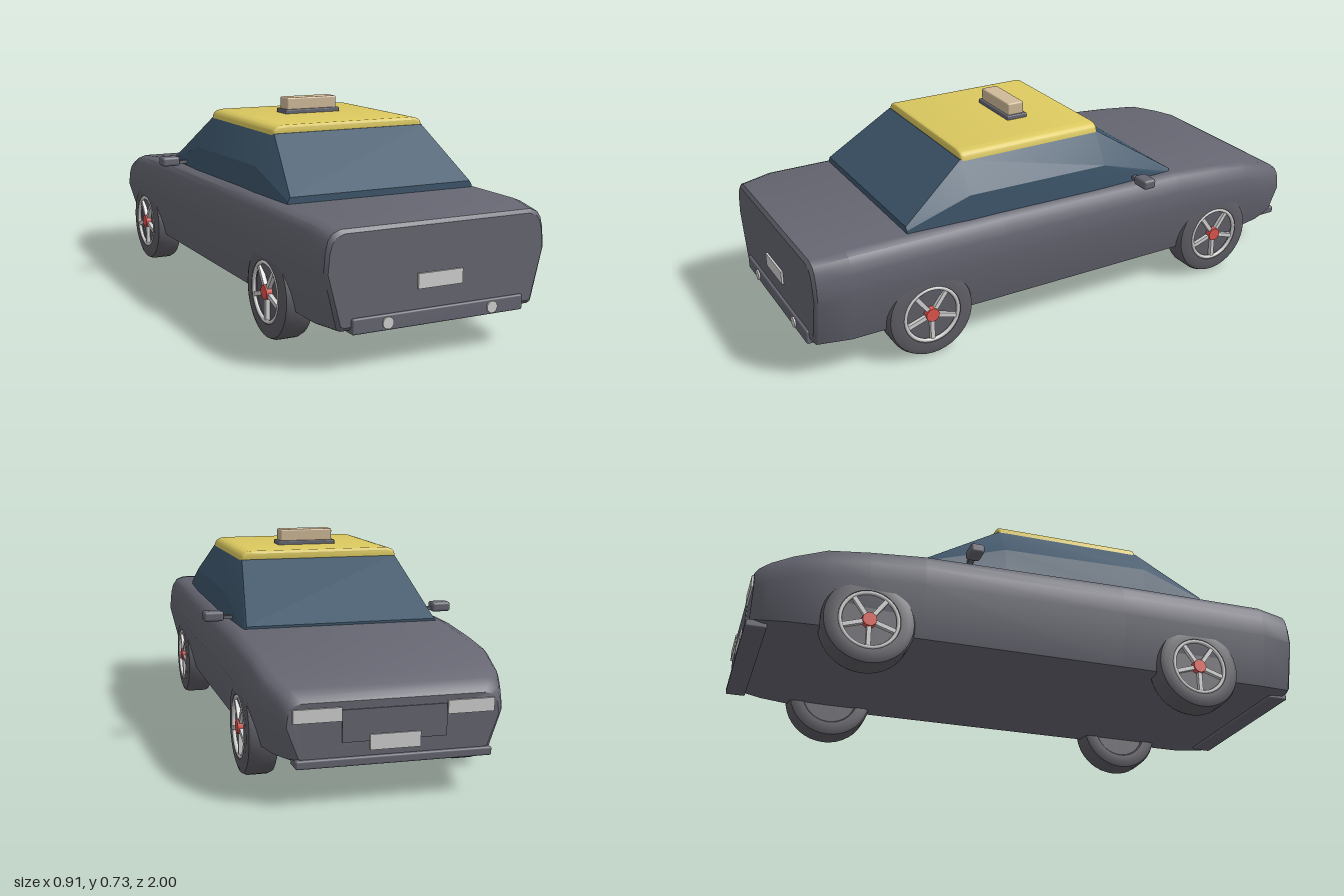
import * as THREE from 'three';
import { toCreasedNormals } from 'three/addons/utils/BufferGeometryUtils.js';
import { RoundedBoxGeometry } from 'three/addons/geometries/RoundedBoxGeometry.js';

function mat(name, color) {
  const m = new THREE.MeshStandardMaterial({ color });
  m.name = name;
  return m;
}

// Skin over closed rings running from +z to -z; each ring is given as its right half, bottom to top
function loft(sections, crease) {
  const pos = [], idx = [];
  const n = sections[0].half.length * 2;
  for (const { z, half } of sections) {
    for (const [x, y] of half) pos.push(x, y, z);
    for (const [x, y] of [...half].reverse()) pos.push(-x, y, z);
  }
  const last = (sections.length - 1) * n;
  for (let i = 0; i < sections.length - 1; i++) {
    for (let j = 0; j < n; j++) {
      const a = i * n + j, b = i * n + (j + 1) % n, d = a + n, c = b + n;
      idx.push(a, d, b, b, d, c);
    }
  }
  for (let j = 1; j < n - 1; j++) {
    idx.push(0, j, j + 1, last, last + j + 1, last + j);
  }
  const g = new THREE.BufferGeometry();
  g.setAttribute('position', new THREE.Float32BufferAttribute(pos, 3));
  g.setIndex(idx);
  return toCreasedNormals(g, crease);
}

export function createModel() {
  const car = new THREE.Group();
  car.name = 'taxi';
  const paint = mat('grey paint', 0x666672);
  const rubber = mat('tyre rubber', 0x5e5e65);
  const glass = mat('blue glass', 0x3d566b);
  const yellow = mat('yellow roof', 0xdcc95f);
  const tan = mat('tan sign', 0xd0ba98);
  const silver = mat('light grey', 0xd2d2d2);
  const red = mat('red hub', 0xe0544c);

  function add(name, geometry, material, x = 0, y = 0, z = 0, parent = car) {
    const m = new THREE.Mesh(geometry, material);
    m.name = name;
    m.position.set(x, y, z);
    parent.add(m);
    return m;
  }
  const rbox = (w, h, d, r) => new RoundedBoxGeometry(w, h, d, 3, r);
  const box = (w, h, d) => new THREE.BoxGeometry(w, h, d);

  // Body: [z, bottom, top, half width]
  const outline = [[0.86, 0], [0.89, 0.02], [1, 0.59], [0.985, 0.8], [0.965, 0.9], [0.93, 0.965], [0.86, 1]];
  const stations = [
    [0.985, 0.14, 0.425, 0.385], [0.975, 0.128, 0.437, 0.395], [0.86, 0.122, 0.45, 0.415],
    [0.3, 0.122, 0.45, 0.417], [-0.43, 0.122, 0.44, 0.417], [-0.62, 0.122, 0.425, 0.414],
    [-0.76, 0.125, 0.41, 0.408], [-0.87, 0.13, 0.375, 0.391], [-0.94, 0.135, 0.35, 0.365],
    [-0.975, 0.14, 0.33, 0.348], [-0.987, 0.145, 0.315, 0.335],
  ];
  const bodySections = stations.map(([z, lo, hi, w]) => ({
    z, half: outline.map(([f, t]) => [f * w, lo + t * (hi - lo)]),
  }));
  add('body', loft(bodySections, 0.6), paint);

  // Glass cabin
  add('cabinGlass', loft([
    { z: 0.64, half: [[0.35, 0.43], [0.348, 0.46], [0.34, 0.472]] },
    { z: 0.41, half: [[0.36, 0.43], [0.36, 0.54], [0.288, 0.642]] },
    { z: -0.13, half: [[0.36, 0.43], [0.355, 0.53], [0.288, 0.642]] },
    { z: -0.43, half: [[0.345, 0.425], [0.343, 0.438], [0.335, 0.448]] },
  ], 0.4), glass);

  // Roof panel with rounded shoulders
  const roof = new THREE.Shape();
  roof.moveTo(-0.282, 0.642);
  roof.lineTo(0.282, 0.642);
  roof.quadraticCurveTo(0.28, 0.66, 0.245, 0.66);
  roof.lineTo(-0.245, 0.66);
  roof.quadraticCurveTo(-0.28, 0.66, -0.282, 0.642);
  const roofGeo = new THREE.ExtrudeGeometry(roof, {
    depth: 0.525, bevelEnabled: true, bevelSize: 0.009, bevelThickness: 0.01, bevelSegments: 3, curveSegments: 8,
  });
  add('roof', toCreasedNormals(roofGeo, 0.7), yellow, 0, 0, -0.127);

  // Roof sign
  add('signBase', rbox(0.22, 0.02, 0.08, 0.004), paint, 0, 0.674, 0.087);
  add('sign', rbox(0.2, 0.048, 0.064, 0.006), tan, 0, 0.702, 0.087);

  // Exhaust end
  add('rearBumper', rbox(0.615, 0.05, 0.075, 0.006), paint, 0, 0.141, 0.957);
  add('rearPlate', box(0.16, 0.048, 0.008), silver, 0, 0.254, 0.988);

  // Headlamp end
  add('frontBumper', rbox(0.62, 0.027, 0.07, 0.006), paint, 0, 0.132, -0.964);
  add('grille', box(0.33, 0.1, 0.006), paint, 0, 0.24, -0.988);
  add('frontPlate', box(0.16, 0.048, 0.008), silver, 0, 0.187, -0.992);

  // Wheel: tyre with a recessed face, rim ring, five spokes and hub, facing +x
  const tyreGeo = toCreasedNormals(new THREE.LatheGeometry([
    [0, -0.045], [0.1, -0.045], [0.105, -0.052], [0.135, -0.052], [0.151, -0.046], [0.157, -0.032],
    [0.157, 0.032], [0.151, 0.046], [0.135, 0.052], [0.105, 0.052], [0.098, 0.036], [0, 0.036],
  ].map(([r, h]) => new THREE.Vector2(r, h)), 40), 0.6);
  const rimGeo = new THREE.TorusGeometry(0.098, 0.007, 8, 40).rotateX(Math.PI / 2);
  const spokeGeo = box(0.085, 0.014, 0.015).translate(0.055, 0, 0);
  const hubGeo = new THREE.CylinderGeometry(0.024, 0.026, 0.024, 16);
  function addWheel(name, side, z) {
    const wheel = new THREE.Group();
    wheel.name = name;
    wheel.position.set(side * 0.353, 0.157, z);
    wheel.rotation.y = side > 0 ? 0 : Math.PI;
    const spin = new THREE.Group();
    spin.name = 'wheelParts';
    spin.rotation.z = -Math.PI / 2;
    wheel.add(spin);
    add('tyre', tyreGeo, rubber, 0, 0, 0, spin);
    add('rim', rimGeo, silver, 0, 0.047, 0, spin);
    for (let i = 0; i < 5; i++) {
      add('spoke', spokeGeo, silver, 0, 0.044, 0, spin).rotation.y = i * Math.PI * 2 / 5;
    }
    add('hub', hubGeo, red, 0, 0.044, 0, spin);
    car.add(wheel);
  }

  // Mirrored parts
  const pipeGeo = new THREE.CylinderGeometry(0.019, 0.019, 0.03, 20).rotateX(Math.PI / 2);
  for (const s of [1, -1]) {
    const label = s > 0 ? 'left' : 'right';
    add(label + 'Mirror', rbox(0.07, 0.035, 0.05, 0.01), paint, s * 0.419, 0.462, -0.262);
    add(label + 'MirrorArm', box(0.06, 0.012, 0.02), paint, s * 0.37, 0.456, -0.262);
    add(label + 'Exhaust', pipeGeo, silver, s * 0.188, 0.141, 0.985);
    add(label + 'Headlamp', box(0.15, 0.042, 0.009), silver, s * 0.242, 0.278, -0.99);
    addWheel(label + 'RearWheel', s, 0.585);
    addWheel(label + 'FrontWheel', s, -0.613);
  }
  return car;
}
